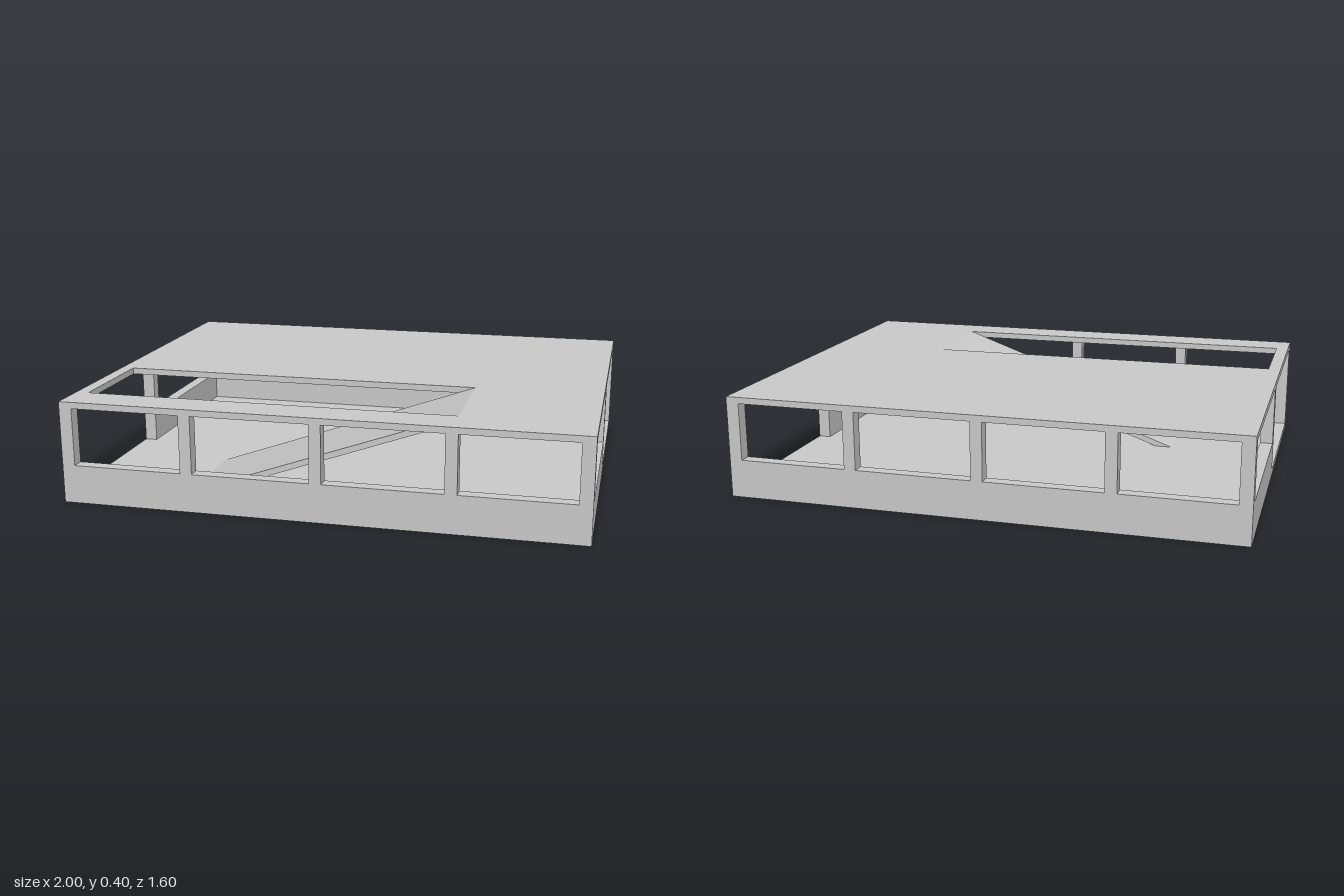
import * as THREE from 'three';

const material = new THREE.MeshStandardMaterial({ color: 0xcccccc, flatShading: true });
const SLAB = 0.025, SILL = 0.15, CEILING = 0.375, TOP = 0.4, WALL = 0.05;

// Box given by its minimum and maximum corner
function block(name, [x0, y0, z0], [x1, y1, z1]) {
  const geometry = new THREE.BoxGeometry(x1 - x0, y1 - y0, z1 - z0);
  geometry.translate((x0 + x1) / 2, (y0 + y1) / 2, (z0 + z1) / 2);
  const mesh = new THREE.Mesh(geometry, material);
  mesh.name = name;
  return mesh;
}

// Rectangle path in the shape plane
function rectangle(path, x0, y0, x1, y1) {
  path.moveTo(x0, y0).lineTo(x1, y0).lineTo(x1, y1).lineTo(x0, y1).closePath();
  return path;
}

function createRoof() {
  const shape = rectangle(new THREE.Shape(), -1, -0.8, 1, 0.8);
  shape.holes.push(rectangle(new THREE.Path(), -0.95, -0.65, 0.5, -0.228));
  const geometry = new THREE.ExtrudeGeometry(shape, { depth: SLAB, bevelEnabled: false });
  geometry.rotateX(-Math.PI / 2).translate(0, CEILING, 0);
  const roof = new THREE.Mesh(geometry, material);
  roof.name = 'roof';
  return roof;
}

function createRamp() {
  const profile = new THREE.Shape();
  profile.moveTo(-0.55, SLAB).lineTo(-0.48, SLAB).lineTo(0.5, CEILING).lineTo(0.5, TOP).closePath();
  const geometry = new THREE.ExtrudeGeometry(profile, { depth: 0.422, bevelEnabled: false });
  geometry.translate(0, 0, 0.228);
  const ramp = new THREE.Mesh(geometry, material);
  ramp.name = 'ramp';
  return ramp;
}

// Long wall at +z and short wall at +x; the other half is this turned by 180 degrees
function createHalfWalls() {
  const half = new THREE.Group();
  // Long wall: parapet, corner posts and window posts
  half.add(block('longParapet', [-1, SLAB, 0.8 - WALL], [1, SILL, 0.8]));
  for (const side of [-1, 1]) {
    const x = side * 0.975;
    half.add(block('cornerPost', [x - 0.025, SILL, 0.8 - WALL], [x + 0.025, CEILING, 0.8]));
  }
  for (const x of [-0.5, 0, 0.5]) {
    half.add(block('windowPost', [x - 0.023, SILL, 0.8 - WALL], [x + 0.023, CEILING, 0.8]));
  }
  // Short wall: parapet under the window, middle post, open doorway beyond it
  half.add(block('shortParapet', [1 - WALL, SLAB, 0.023], [1, SILL, 0.8 - WALL]));
  half.add(block('doorPost', [1 - WALL, SLAB, -0.023], [1, CEILING, 0.023]));
  return half;
}

export function createModel() {
  const model = new THREE.Group();
  model.name = 'building';
  model.add(block('floor', [-1, 0, -0.8], [1, SLAB, 0.8]), createRoof(), createRamp());

  const frontWalls = createHalfWalls();
  frontWalls.name = 'frontAndLeftWalls';
  const backWalls = createHalfWalls();
  backWalls.name = 'backAndRightWalls';
  backWalls.rotation.y = Math.PI;
  model.add(frontWalls, backWalls);
  return model;
}
